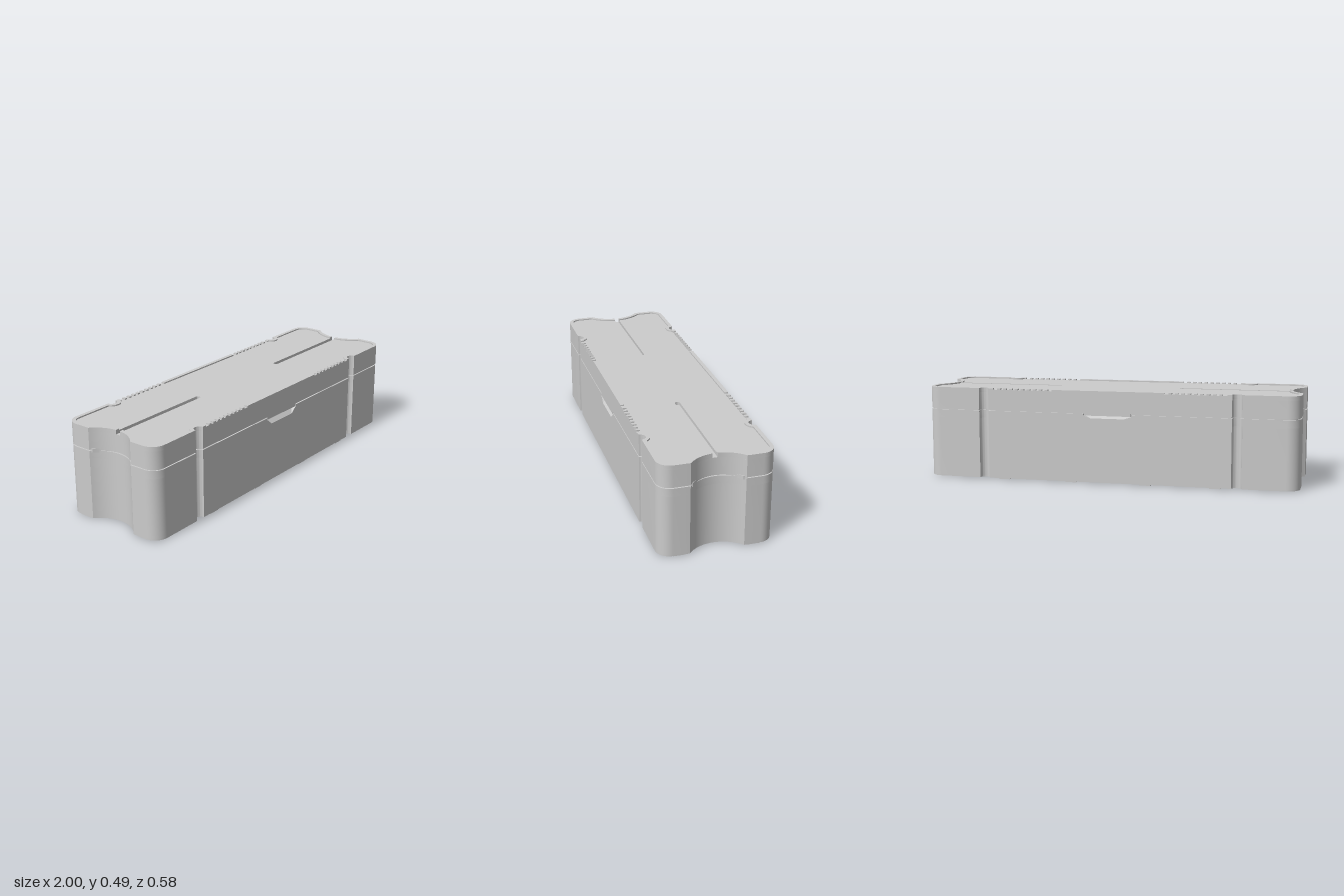
import * as THREE from 'three';
import { toCreasedNormals } from 'three/addons/utils/BufferGeometryUtils.js';

const HX = 1, HZ = 0.29;            // half length and half depth
const CORNER = 0.07;                // corner radius
const END_R = 0.1805, END_C = 1.1175; // scooped ends
const GROOVE_X = 0.68, GROOVE_R = 0.027;
const RIM = 0.02, SLOT = 0.013, TEETH_END = 0.64, TEETH_START = 0.3;
const NOTCH_W = 0.13, NOTCH_Z = 0.26;

const material = new THREE.MeshStandardMaterial({ color: 0xcccccc, side: THREE.DoubleSide });

// Points on an arc in the (x, z) plane
function arc(cx, cz, r, a0, a1, n) {
  return Array.from({ length: n + 1 }, (_, i) => {
    const a = a0 + (a1 - a0) * i / n;
    return [cx + r * Math.cos(a), cz + r * Math.sin(a)];
  });
}

// One quarter of the case outline, inset by d, from the end (at z0) to the long side
function quarter(d, z0 = 0) {
  const R = END_R + d, x = HX - d, z = HZ - d, r = CORNER - d, g = GROOVE_R + d;
  const a0 = Math.PI - Math.asin(z0 / R);
  const a1 = Math.PI - Math.acos((END_C - x) / R);
  const dip = Math.asin(d / g);
  return [
    ...arc(END_C, 0, R, a0, a1, 12),
    ...arc(x - r, z - r, r, 0, Math.PI / 2, 10),
    ...arc(GROOVE_X, HZ, g, -dip, -Math.PI + dip, 14),
  ];
}

// Mirror a quarter into the closed outline
function fullOutline(q) {
  const rev = [...q].reverse();
  const pts = [
    ...q,
    ...rev.map(([x, z]) => [-x, z]),
    ...q.map(([x, z]) => [-x, -z]),
    ...rev.map(([x, z]) => [x, -z]),
  ];
  return pts.filter(([x, z], i) => {
    const [px, pz] = pts[(i + pts.length - 1) % pts.length];
    return Math.hypot(x - px, z - pz) > 1e-5;
  });
}

const toShape = pts => new THREE.Shape(pts.map(([x, y]) => new THREE.Vector2(x, y)));

function addMesh(parent, name, geometry) {
  const mesh = new THREE.Mesh(geometry, material);
  mesh.name = name;
  parent.add(mesh);
  return mesh;
}

// Horizontal layer between two heights
function addLayer(parent, name, shape, y0, y1) {
  const geo = new THREE.ExtrudeGeometry(shape, { depth: y1 - y0, bevelEnabled: false });
  geo.rotateX(Math.PI / 2).translate(0, y1, 0);
  return addMesh(parent, name, toCreasedNormals(geo, 0.5));
}

function addBox(parent, name, x0, x1, y0, y1, z0, z1) {
  const geo = new THREE.BoxGeometry(x1 - x0, y1 - y0, z1 - z0);
  geo.translate((x0 + x1) / 2, (y0 + y1) / 2, (z0 + z1) / 2);
  return addMesh(parent, name, geo);
}

// Sloped finger recess below the lid tab
function fingerRecess(name, bottom) {
  const group = new THREE.Group();
  group.name = name;
  const ramp = new THREE.ExtrudeGeometry(
    toShape([[NOTCH_Z, 0.327], [HZ, 0.327], [HZ, bottom], [NOTCH_Z, 0.36]]),
    { depth: 2 * NOTCH_W, bevelEnabled: false });
  ramp.rotateY(-Math.PI / 2).translate(NOTCH_W, 0, 0);
  addMesh(group, 'recessRamp', ramp);
  for (const s of [-1, 1]) {
    const cheek = new THREE.ExtrudeGeometry(
      toShape([[s * 0.09, bottom], [s * NOTCH_W, bottom], [s * NOTCH_W, 0.36]]),
      { depth: HZ - NOTCH_Z, bevelEnabled: false });
    addMesh(group, 'recessCheek', cheek.translate(0, 0, NOTCH_Z));
  }
  addBox(group, 'lidTab', -0.126, 0.126, 0.36, 0.38, 0.25, HZ);
  return group;
}

export function createModel() {
  const model = new THREE.Group();
  model.name = 'case';
  const outline = fullOutline(quarter(0));

  // Base with a recessed underside and small feet on its rim
  const base = new THREE.Group();
  base.name = 'base';
  model.add(base);
  const ring = toShape(outline);
  ring.holes.push(new THREE.Path(toShape(fullOutline(quarter(RIM))).getPoints()));
  addLayer(base, 'bottomRim', ring, 0.005, 0.012);
  addLayer(base, 'baseBody', toShape(outline), 0.012, 0.327);
  const notched = [...quarter(0), [NOTCH_W, HZ], [NOTCH_W, NOTCH_Z], [0, NOTCH_Z]];
  addLayer(base, 'baseUpperBand', toShape(fullOutline(notched)), 0.327, 0.369);
  for (const sz of [-1, 1]) {
    for (const x of [-0.57, -0.2, 0.2, 0.57])
      addBox(base, 'foot', x - 0.03, x + 0.03, 0, 0.006, sz * 0.275 - 0.012, sz * 0.275 + 0.012);
    for (const sx of [-1, 1])
      addBox(base, 'endFoot', sx * 0.985 - 0.01, sx * 0.985 + 0.01, 0, 0.006, sz * 0.187 - 0.03, sz * 0.187 + 0.03);
  }

  // Seam, set back between base and lid
  addLayer(model, 'seam', toShape(fullOutline(quarter(0.008))), 0.36, 0.38).scale.z = 0.88;
  addLayer(model, 'seamCore', toShape(fullOutline([...quarter(0.008)])), 0.368, 0.377);

  // Finger recesses, front and back
  model.add(fingerRecess('frontRecess', 0.327));
  const back = fingerRecess('backRecess', 0.346);
  back.rotation.y = Math.PI;
  model.add(back);

  // Lid with a long slot running in from each end
  const lid = new THREE.Group();
  lid.name = 'lid';
  model.add(lid);
  addLayer(lid, 'lidBody', toShape(outline), 0.375, 0.467);
  const slotEnd = [[0.33, 0], [0.332, 0.007], [0.336, 0.011], [0.343, SLOT]];
  addLayer(lid, 'lidTop', toShape(fullOutline([...slotEnd, ...quarter(0, SLOT)])), 0.467, 0.483);

  // Raised rim: four corner pieces, two plain bars and rows of teeth
  const rimCorner = [
    ...quarter(0, SLOT), [TEETH_END, HZ],
    [TEETH_END - 0.012, HZ], [TEETH_END - 0.012, HZ - RIM],
    ...quarter(RIM, SLOT).reverse(),
  ];
  const teeth = 10, pitch = (TEETH_END - 0.012 - TEETH_START) / teeth;
  for (const sz of [-1, 1]) {
    const z0 = sz > 0 ? HZ - RIM : -HZ, z1 = z0 + RIM;
    addBox(lid, 'rimBar', -TEETH_START, TEETH_START, 0.483, 0.49, z0, z1);
    for (const sx of [-1, 1]) {
      addLayer(lid, 'rimCorner', toShape(rimCorner.map(([x, z]) => [sx * x, sz * z])), 0.483, 0.49);
      for (let i = 0; i < teeth - 1; i++) {
        const x = sx * (TEETH_START + (i + 1) * pitch);
        addBox(lid, 'rimTooth', x - pitch * 0.25, x + pitch * 0.25, 0.483, 0.49, z0, z1);
      }
    }
  }
  return model;
}
